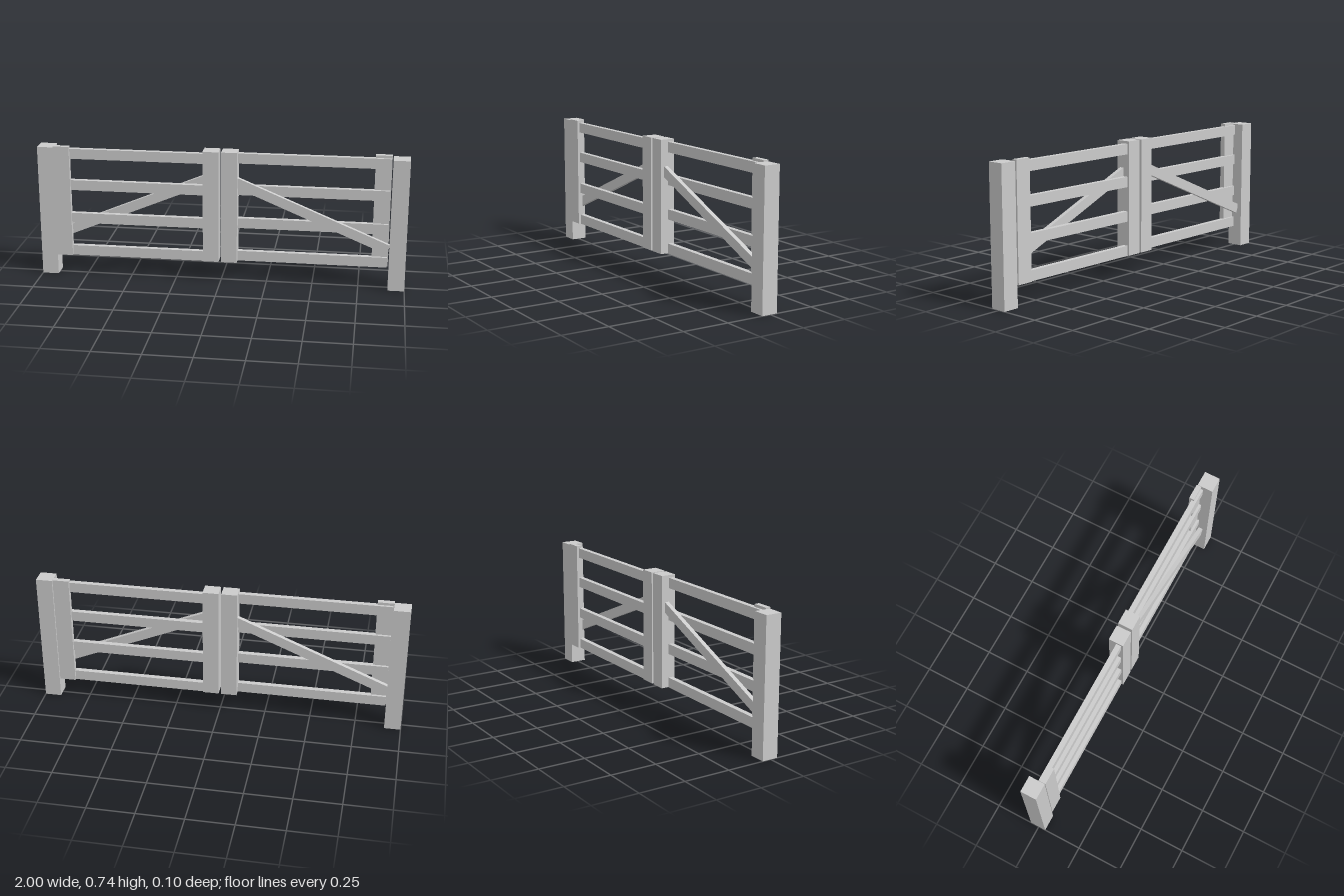
import * as THREE from 'three';

const material = new THREE.MeshStandardMaterial({ color: 0xcccccc, flatShading: true });

// Box given by its min and max along each axis
function beam(name, [x0, x1], [y0, y1], [z0, z1]) {
  const mesh = new THREE.Mesh(new THREE.BoxGeometry(x1 - x0, y1 - y0, z1 - z0), material);
  mesh.position.set((x0 + x1) / 2, (y0 + y1) / 2, (z0 + z1) / 2);
  mesh.name = name;
  return mesh;
}

// One gate leaf, running from the middle out towards +x
function createLeaf(name) {
  const leaf = new THREE.Group();
  leaf.name = name;
  leaf.add(beam('meetingStile', [0.007, 0.093], [0.115, 0.737], [-0.041, 0.041]));
  leaf.add(beam('hingeStile', [0.821, 0.909], [0.115, 0.737], [-0.044, -0.016]));

  // Four horizontal rails
  for (const y of [0.113, 0.302, 0.49, 0.667]) {
    leaf.add(beam('rail', [0.04, 0.904], [y, y + 0.056], [-0.03, -0.002]));
  }

  // Diagonal brace on the face of the rails
  const start = new THREE.Vector2(0.05, 0.582);
  const end = new THREE.Vector2(0.907, 0.223);
  const span = end.clone().sub(start);
  const brace = new THREE.Mesh(new THREE.BoxGeometry(span.length(), 0.053, 0.024), material);
  brace.position.set((start.x + end.x) / 2, (start.y + end.y) / 2, 0.01);
  brace.rotation.z = span.angle();
  brace.name = 'brace';
  leaf.add(brace);
  return leaf;
}

export function createModel() {
  const gate = new THREE.Group();
  gate.name = 'doubleGate';

  // Each side is the other turned half way round
  for (const [side, turn] of [['left', 0], ['right', Math.PI]]) {
    const leaf = createLeaf(side + 'Leaf');
    leaf.rotation.y = turn;
    leaf.position.x = -0.003;

    const post = new THREE.Group();
    post.name = side + 'Post';
    post.add(beam('post', [0.911, 1], [0, 0.73], [-0.04, 0.048]));
    post.rotation.y = turn;
    gate.add(leaf, post);
  }
  return gate;
}
